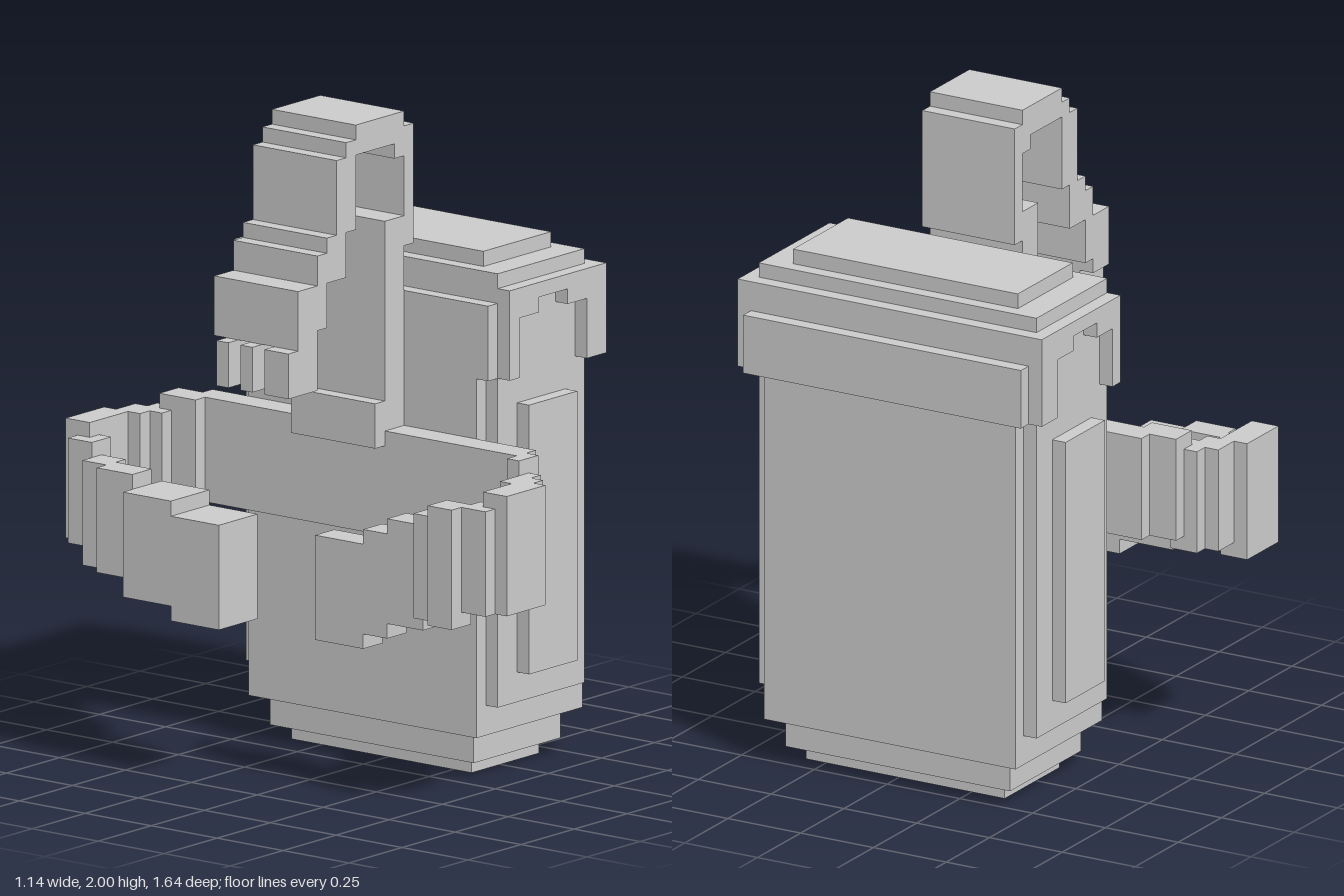
import * as THREE from 'three';

const material = new THREE.MeshStandardMaterial({ color: 0xcccccc, flatShading: true, side: THREE.DoubleSide });
const V = 2 / 44; // edge of one block
const ZC = -V / 2; // middle of the case along z

function box(parent, name, x0, x1, y0, y1, z0, z1) {
  const mesh = new THREE.Mesh(new THREE.BoxGeometry(x1 - x0, y1 - y0, z1 - z0), material);
  mesh.position.set((x0 + x1) / 2, (y0 + y1) / 2, (z0 + z1) / 2);
  mesh.name = name;
  parent.add(mesh);
}

function part(root, name) {
  const group = new THREE.Group();
  group.name = name;
  root.add(group);
  return group;
}

// Tier centred on the case: x range, y range, half length
function tiers(parent, name, list) {
  for (const [x0, x1, y0, y1, h] of list) box(parent, name, x0, x1, y0, y1, ZC - h, ZC + h);
}

// Arched rim at each narrow end of the lid
function lidFrame() {
  const points = [
    [0.068, 1.227], [0.114, 1.227], [0.114, 1.409], [0.205, 1.409], [0.205, 1.455], [0.341, 1.455],
    [0.341, 1.409], [0.432, 1.409], [0.432, 1.227], [0.523, 1.227], [0.523, 1.5], [0.068, 1.5],
  ];
  const shape = new THREE.Shape(points.map(([x, y]) => new THREE.Vector2(x, y)));
  return new THREE.ExtrudeGeometry(shape, { depth: V, bevelEnabled: false });
}

export function createModel() {
  const root = new THREE.Group();
  root.name = 'strappedCase';

  // Case with stepped base and notched upright corners
  const body = part(root, 'caseBody');
  tiers(body, 'caseTier', [
    [0.114, 0.432, 0, 0.045, 0.341],
    [0.068, 0.477, 0.045, 0.136, 0.386],
    [0.023, 0.523, 0.136, 1.227, 0.432],
    [0.068, 0.477, 0.227, 1.227, 0.477],
  ]);
  tiers(body, 'endPanel', [[0.159, 0.386, 0.318, 1.136, 0.523]]);

  // Lid with stepped top, side flange and arched end rims
  const lid = part(root, 'lid');
  tiers(lid, 'lidTier', [
    [0.023, 0.568, 1.227, 1.409, 0.477],
    [0.023, 0.523, 1.409, 1.455, 0.477],
    [0.068, 0.523, 1.455, 1.5, 0.477],
    [0.068, 0.477, 1.5, 1.545, 0.477],
    [0.114, 0.432, 1.545, 1.591, 0.386],
  ]);
  const frame = lidFrame();
  for (const z of [ZC + 0.477, ZC - 0.477 - V]) {
    const mesh = new THREE.Mesh(frame, material);
    mesh.name = 'lidEndRim';
    mesh.position.z = z;
    lid.add(mesh);
  }

  // Shoulder strap: x range, y range, all of one width
  const shoulder = part(root, 'shoulderStrap');
  const Z0 = -0.182, Z1 = 0.136;
  for (const [x0, x1, y0, y1] of [
    [-0.068, 0.023, 0.727, 1.682],
    [-0.114, 0.023, 1, 1.136],
    [0.023, 0.068, 1.591, 1.955],
    [-0.023, 0.023, 1.864, 2],
    [-0.205, -0.023, 1.909, 2],
    [-0.25, -0.159, 1.909, 1.955],
    [-0.295, -0.205, 1.682, 1.909],
    [-0.341, -0.25, 1.591, 1.682],
    [-0.386, -0.25, 1.545, 1.636],
    [-0.477, -0.341, 1.455, 1.545],
    [-0.477, -0.341, 1.409, 1.455],
    [-0.477, -0.386, 1.364, 1.409],
  ]) box(shoulder, 'strapSegment', x0, x1, y0, y1, Z0, Z1);

  // Frayed tip
  for (const [z0, z1] of [[0.045, Z1], [-0.045, 0], [-0.136, -0.091]])
    box(shoulder, 'strapTooth', -0.523, -0.386, 1.227, 1.364, z0, z1);

  // Waist belt against the case
  const belt = part(root, 'waistBelt');
  box(belt, 'beltBack', -0.068, 0.023, 0.727, 1.045, -0.591, 0.636);

  // Belt loops: x range, z range, bottom, top
  const loops = {
    frontLoop: [
      [-0.114, -0.023, 0.636, 0.682, 0.727, 1.045],
      [-0.159, -0.068, 0.682, 0.727, 0.682, 1],
      [-0.205, -0.114, 0.682, 0.773, 0.682, 1],
      [-0.341, -0.159, 0.727, 0.818, 0.636, 1],
      [-0.386, -0.295, 0.682, 0.773, 0.636, 0.955],
      [-0.432, -0.341, 0.591, 0.682, 0.591, 0.955],
      [-0.386, -0.295, 0.5, 0.591, 0.591, 0.909],
      [-0.341, -0.25, 0.364, 0.5, 0.545, 0.864],
      [-0.341, -0.25, 0.273, 0.364, 0.5, 0.818],
      [-0.341, -0.25, 0.091, 0.273, 0.455, 0.773],
    ],
    backLoop: [
      [-0.114, -0.023, -0.682, -0.545, 0.727, 1.045],
      [-0.159, -0.068, -0.727, -0.636, 0.682, 1],
      [-0.205, -0.114, -0.773, -0.682, 0.682, 1],
      [-0.386, -0.205, -0.818, -0.727, 0.636, 1],
      [-0.432, -0.341, -0.773, -0.682, 0.636, 0.955],
      [-0.477, -0.386, -0.682, -0.591, 0.591, 0.909],
      [-0.523, -0.432, -0.591, -0.455, 0.591, 0.909],
      [-0.568, -0.386, -0.455, -0.273, 0.545, 0.864],
      [-0.568, -0.386, -0.273, -0.091, 0.5, 0.818],
    ],
  };
  for (const [name, segments] of Object.entries(loops)) {
    const loop = part(belt, name);
    for (const [x0, x1, z0, z1, y0, y1] of segments) box(loop, 'beltSegment', x0, x1, y0, y1, z0, z1);
  }

  return root;
}
